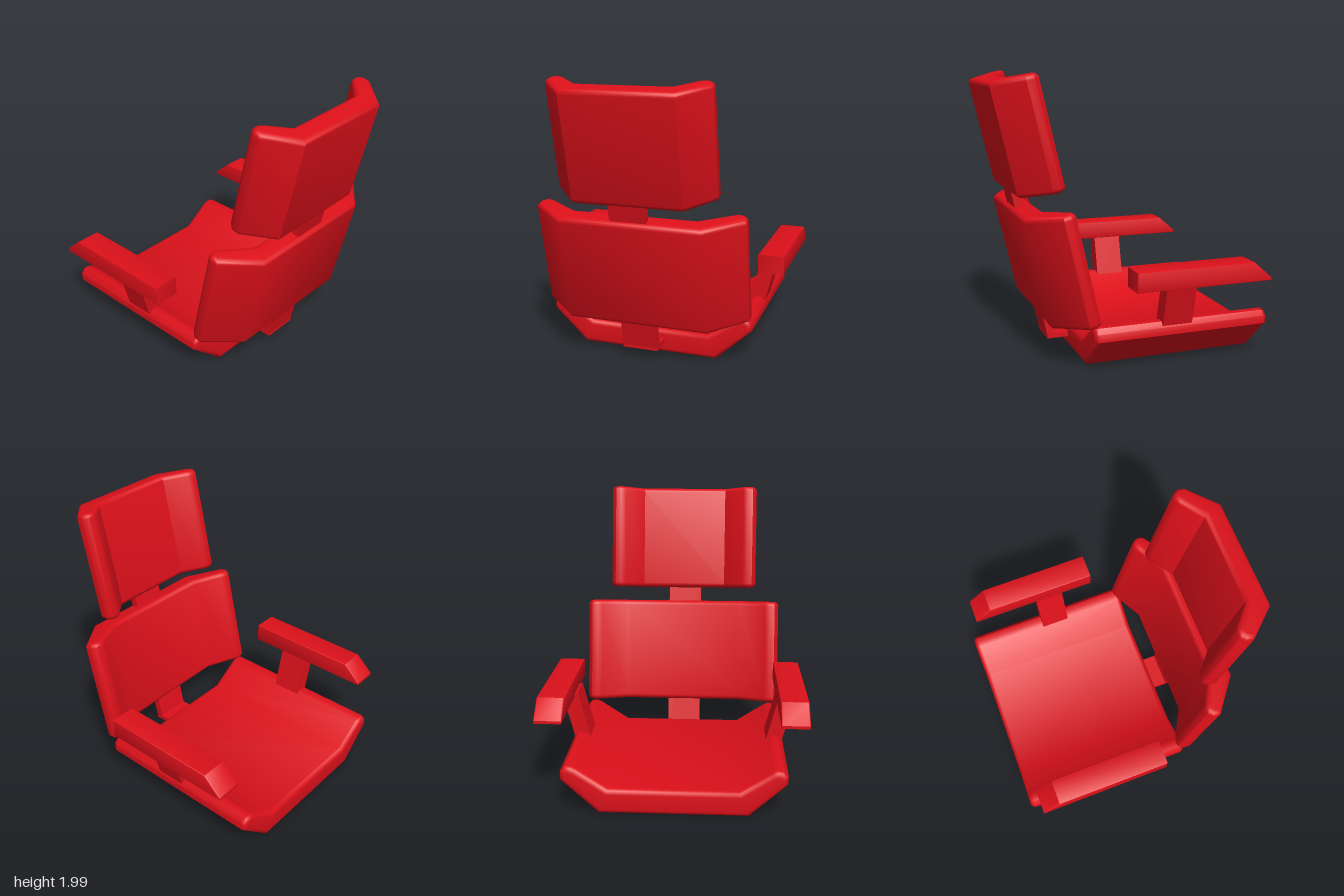
import * as THREE from 'three';
import { toCreasedNormals } from 'three/addons/utils/BufferGeometryUtils.js';

const MID = 0.02; // side-to-side centre of seat and back
const TILT = THREE.MathUtils.degToRad(13);

// Extrude an outline by `length`, centred, with rounded or chamfered ends inside its size
function extrude(points, length, bevel, segments) {
  const shape = new THREE.Shape(points.map(([x, y]) => new THREE.Vector2(x, y)));
  const geo = new THREE.ExtrudeGeometry(shape, {
    depth: length - 2 * bevel,
    bevelEnabled: true,
    bevelThickness: bevel,
    bevelSize: bevel,
    bevelOffset: -bevel,
    bevelSegments: segments,
  });
  geo.translate(0, 0, bevel - length / 2);
  return toCreasedNormals(geo, 0.72);
}

// Padded trough: flat centre, two raised wings with rounded rims; runs along x, opens to +y
function padGeometry(halfWidth, halfFlat, depth, thickness, length) {
  const half = [
    [halfFlat, 0],
    [halfWidth, depth - 0.095],
    [halfWidth, depth - 0.04],
    [halfWidth - 0.03, depth - 0.005],
    [halfWidth - 0.07, depth],
    [halfWidth - 0.105, depth - 0.015],
    [halfFlat - 0.065, thickness],
  ];
  const mirrored = half.map(([x, y]) => [-x, y]).reverse();
  return extrude([...half, ...mirrored], length, 0.035, 4).rotateY(Math.PI / 2);
}

export function createModel() {
  const model = new THREE.Group();
  model.name = 'chair';
  const red = new THREE.MeshStandardMaterial({ color: 0xdc101a });

  function add(parent, name, geo, x, y, z) {
    const mesh = new THREE.Mesh(geo, red);
    mesh.name = name;
    mesh.position.set(x, y, z);
    parent.add(mesh);
    return mesh;
  }

  // Seat
  add(model, 'seat', padGeometry(0.75, 0.5, 0.33, 0.175, 1.28), -0.3, 0.005, MID);

  // Leaning back: two pads on one spine, in a tilted frame
  const back = new THREE.Group();
  back.name = 'back';
  back.rotation.z = -TILT;
  model.add(back);
  const lower = add(back, 'backrest', padGeometry(0.75, 0.5, 0.298, 0.16, 0.795), 0.492, 0.798, MID);
  const upper = add(back, 'headrest', padGeometry(0.565, 0.385, 0.298, 0.155, 0.79), 0.472, 1.698, MID);
  lower.rotation.z = upper.rotation.z = Math.PI / 2;
  add(back, 'spine', new THREE.BoxGeometry(0.055, 1.21, 0.255), 0.432, 0.795, 0.028);

  // Bracket joining spine and seat
  add(model, 'seatBracket', new THREE.BoxGeometry(0.32, 0.037, 0.255), 0.335, 0.099, 0.028);

  // Armrests with sloped noses, on posts leaning outward
  const armOutline = [[-0.86, 0.605], [0.112, 0.605], [0.112, 0.74], [-0.73, 0.74], [-0.86, 0.625]];
  for (const side of [1, -1]) {
    const label = side > 0 ? 'left' : 'right';
    add(model, label + 'Armrest', extrude(armOutline, 0.188, 0.008, 2), 0, 0, side * 0.81);
    const post = add(model, label + 'ArmPost', new THREE.BoxGeometry(0.216, 0.38, 0.11),
      -0.25, 0.44, MID + side * 0.72);
    post.rotation.x = side * 0.25;
  }

  return model;
}
